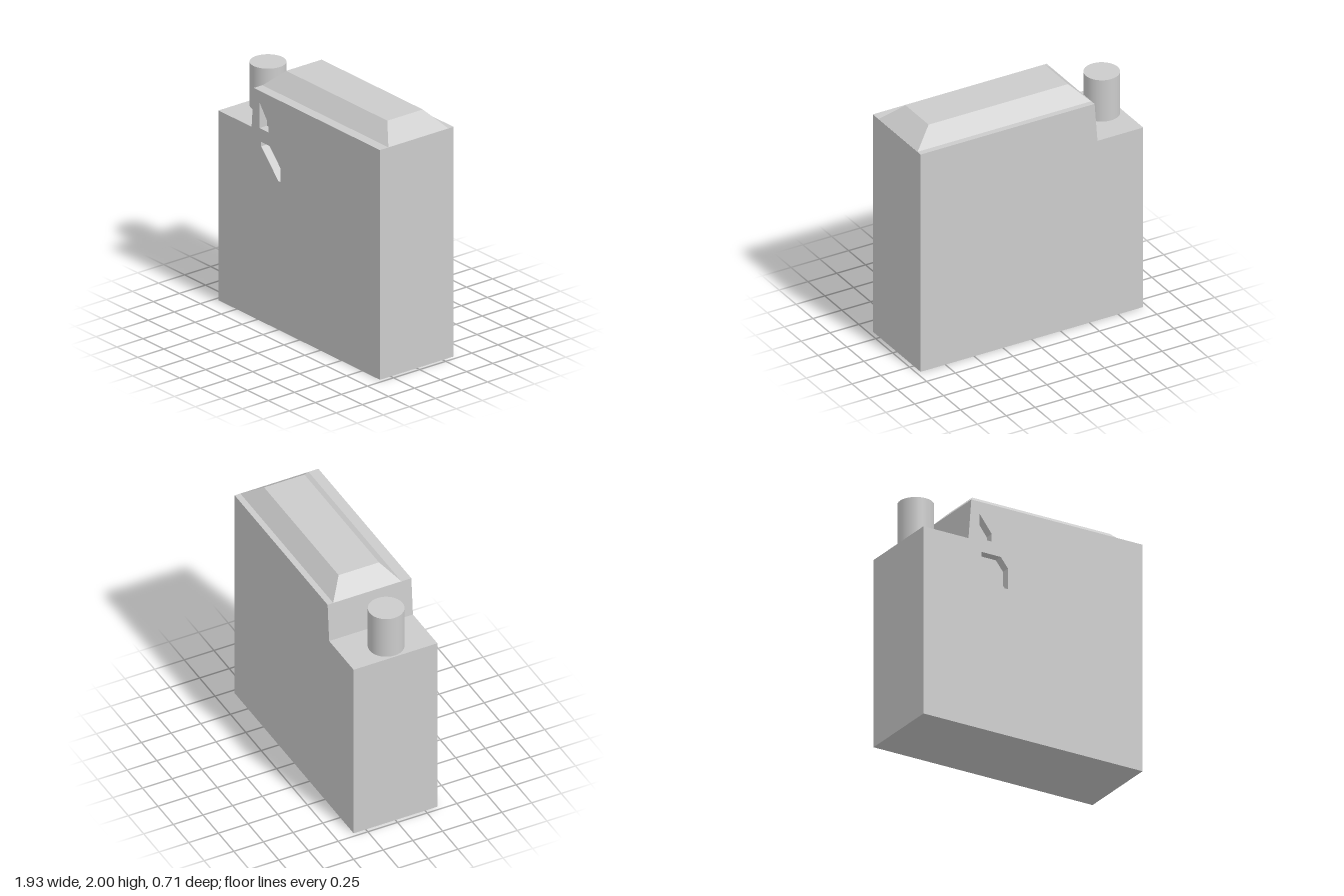
import * as THREE from 'three';
import { mergeGeometries } from 'three/addons/utils/BufferGeometryUtils.js';

const HALF_DEPTH = 0.353;
const POCKET_DEPTH = 0.07;

const toShape = (pts) => new THREE.Shape(pts.map(([x, y]) => new THREE.Vector2(x, y)));

// Flat cap facing +z
function cap(shape, z) {
  return new THREE.ShapeGeometry(shape).translate(0, 0, z).toNonIndexed();
}

// Strip of quads along a closed outline, facing right of the travel direction
function walls(pts, z0, z1) {
  const pos = [], uv = [];
  pts.forEach(([ax, ay], i) => {
    const [bx, by] = pts[(i + 1) % pts.length];
    pos.push(ax, ay, z0, bx, by, z0, bx, by, z1, ax, ay, z0, bx, by, z1, ax, ay, z1);
    uv.push(0, 0, 1, 0, 1, 1, 0, 0, 1, 1, 0, 1);
  });
  const g = new THREE.BufferGeometry();
  g.setAttribute('position', new THREE.Float32BufferAttribute(pos, 3));
  g.setAttribute('uv', new THREE.Float32BufferAttribute(uv, 2));
  g.computeVertexNormals();
  return g;
}

// Stepped slab with blind pockets in its front face
function bodyGeometry() {
  const outline = [[-0.967, 0], [0.965, 0], [0.965, 1.87], [-0.545, 1.87], [-0.57, 1.545], [-0.967, 1.545]];
  const pockets = [
    [[-0.475, 1.775], [-0.365, 1.63], [-0.365, 1.567], [-0.475, 1.567]],
    [[-0.455, 1.46], [-0.285, 1.46], [-0.222, 1.38], [-0.222, 1.21], [-0.25, 1.21], [-0.455, 1.425]],
  ];
  const front = toShape(outline);
  front.holes = pockets.map(toShape);
  const mirrored = toShape(outline.map(([x, y]) => [-x, y]));
  const floorZ = HALF_DEPTH - POCKET_DEPTH;
  const parts = [
    cap(front, HALF_DEPTH),
    cap(mirrored, HALF_DEPTH).rotateY(Math.PI),
    walls(outline, -HALF_DEPTH, HALF_DEPTH),
  ];
  for (const p of pockets) parts.push(cap(toShape(p), floorZ), walls(p, floorZ, HALF_DEPTH));
  return mergeGeometries(parts);
}

// Bevelled lid: a box whose corners are moved to the base and top rectangles
function lidGeometry() {
  const base = { x: [-0.543, 0.963], y: 1.87, z: [-0.305, 0.27] };
  const top = { x: [-0.41, 0.8], y: 2, z: [-0.19, 0.15] };
  const g = new THREE.BoxGeometry(1, 1, 1);
  const p = g.attributes.position;
  for (let i = 0; i < p.count; i++) {
    const r = p.getY(i) > 0 ? top : base;
    p.setXYZ(i, r.x[p.getX(i) > 0 ? 1 : 0], r.y, r.z[p.getZ(i) > 0 ? 1 : 0]);
  }
  g.computeVertexNormals();
  return g;
}

export function createModel() {
  const model = new THREE.Group();
  const material = new THREE.MeshStandardMaterial({ color: 0xcccccc });
  const add = (name, geometry) => {
    const mesh = new THREE.Mesh(geometry, material);
    mesh.name = name;
    model.add(mesh);
  };
  add('body', bodyGeometry());
  add('lid', lidGeometry());
  // Round post standing on the lower step
  add('post', new THREE.CylinderGeometry(0.138, 0.138, 0.355, 32).translate(-0.815, 1.7225, 0));
  return model;
}
